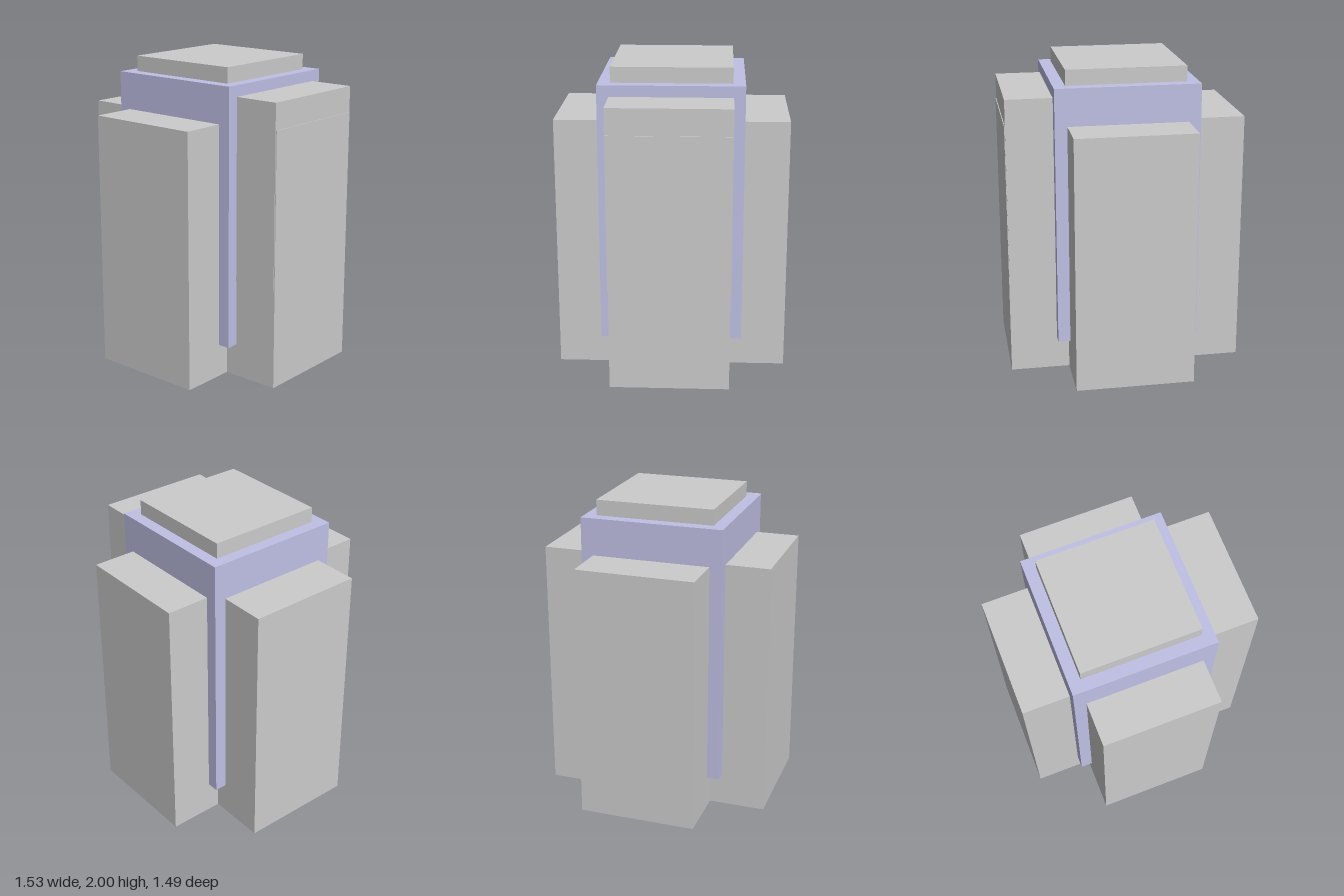
import * as THREE from 'three';

export function createModel() {
  const group = new THREE.Group();
  const grey = new THREE.MeshStandardMaterial({ color: 0xcccccc });
  const blue = new THREE.MeshStandardMaterial({ color: 0xc0c0e6 });

  // Box given by its limits on each axis
  const block = (name, [x0, x1], [y0, y1], [z0, z1], material = grey) => {
    const mesh = new THREE.Mesh(new THREE.BoxGeometry(x1 - x0, y1 - y0, z1 - z0), material);
    mesh.position.set((x0 + x1) / 2, (y0 + y1) / 2, (z0 + z1) / 2);
    mesh.name = name;
    group.add(mesh);
  };

  // Central tower and the tinted sleeve around it
  block('core', [-0.385, 0.382], [0, 2], [-0.385, 0.38]);
  block('sleeve', [-0.462, 0.46], [0.215, 1.9], [-0.462, 0.459], blue);

  // Lower wings crossing the tower in both directions
  block('sideWings', [-0.765, 0.763], [0, 1.66], [-0.384, 0.379]);
  block('frontBackWings', [-0.384, 0.381], [0, 1.66], [-0.747, 0.744]);

  // Taller block over the left wing
  block('tallWing', [0.3, 0.758], [0.65, 1.828], [-0.389, 0.384]);

  return group;
}
